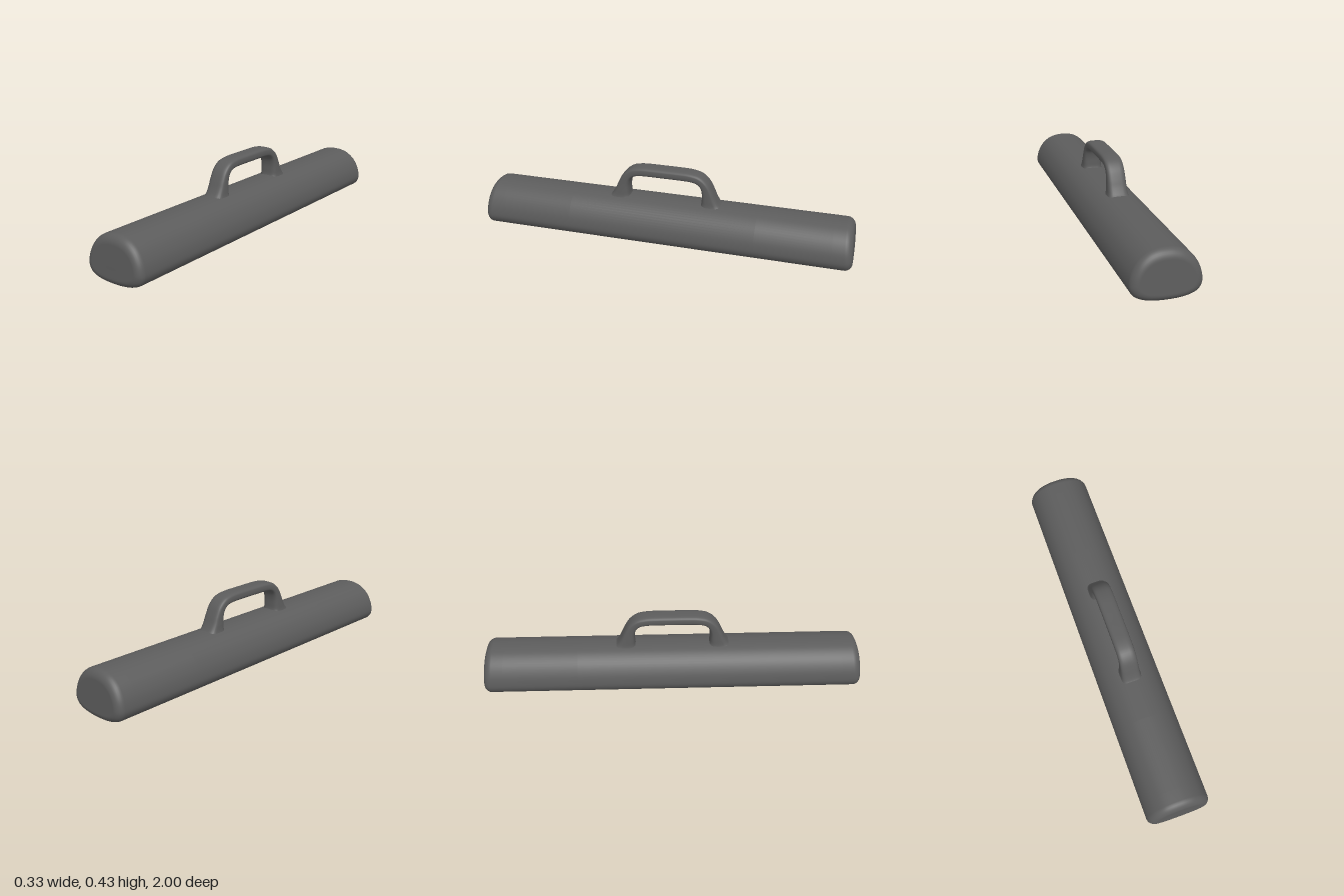
import * as THREE from 'three';

// Closed smooth skin over a list of rings (each an equal-length array of Vector3)
function loft(rings) {
  const n = rings[0].length, index = [];
  for (let i = 0; i < rings.length - 1; i++) {
    for (let j = 0; j < n; j++) {
      const k = (j + 1) % n;
      const a = i * n + j, b = i * n + k, c = (i + 1) * n + k, d = (i + 1) * n + j;
      index.push(a, b, c, a, c, d);
    }
  }
  const geometry = new THREE.BufferGeometry().setFromPoints(rings.flat());
  geometry.setIndex(index);
  geometry.computeVertexNormals();
  return geometry;
}

// Long body: domed top, gently bowed underside, softened ends
function bodyGeometry() {
  const half = [[0, 0.023], [0.06, 0.026], [0.11, 0.036], [0.148, 0.056], [0.165, 0.085],
    [0.166, 0.115], [0.155, 0.16], [0.126, 0.209], [0.083, 0.243], [0.04, 0.257], [0, 0.26]];
  const mirrored = half.slice(1, -1).reverse().map(([x, y]) => [-x, y]);
  const outline = new THREE.CatmullRomCurve3(
    [...half, ...mirrored].map(([x, y]) => new THREE.Vector3(x, y, 0)), true);
  const section = outline.getPoints(80).slice(0, 80);

  const radius = 0.04, cy = 0.13;
  const profile = [[0.117, 1], [0.09, 1], [0.06, 0.9995]]; // [inset, z]
  for (let i = 8; i >= 0; i--) {
    const a = (i / 8) * Math.PI / 2;
    profile.push([radius * (1 - Math.cos(a)), 1 - radius + radius * Math.sin(a)]);
  }
  profile.push([0, 0.9], [0, 0.5]);
  const ring = (inset, z, side) => section.map((p) => {
    const sx = inset >= 0.117 ? 0 : 1 - inset / (inset > radius ? 0.117 : 0.167);
    const sy = 1 - inset / 0.117;
    const y = cy + (p.y - cy) * sy;
    const lean = z > 0.8 ? 0.014 * Math.max(0, y - 0.05) / 0.21 : 0;
    return new THREE.Vector3(p.x * sx, y, side * (z - lean));
  });
  return loft([
    ...profile.map(([d, z]) => ring(d, z, -1)),
    ...profile.slice().reverse().map(([d, z]) => ring(d, z, 1)),
  ]);
}

// Arched handle: skin between an outer and an inner arch, flared at the feet
function handleGeometry() {
  // [outer z, outer y, inner z, inner y, half width]
  const stations = [
    [0.335, 0.235, 0.18, 0.235, 0.062], [0.298, 0.26, 0.195, 0.26, 0.053],
    [0.275, 0.295, 0.198, 0.29, 0.05], [0.257, 0.335, 0.197, 0.325, 0.048],
    [0.23, 0.383, 0.188, 0.355, 0.047], [0.19, 0.417, 0.168, 0.373, 0.047],
    [0.14, 0.43, 0.135, 0.38, 0.047], [0.07, 0.433, 0.07, 0.382, 0.047],
  ];
  const back = stations.map(([oz, oy, iz, iy, w]) => [-oz, oy, -iz, iy, w]);
  const all = [...back, [0, 0.433, 0, 0.382, 0.047], ...stations.slice().reverse()];
  const outer = new THREE.CatmullRomCurve3(all.map((s) => new THREE.Vector3(s[4], s[1], s[0])));
  const inner = new THREE.CatmullRomCurve3(all.map((s) => new THREE.Vector3(s[4], s[3], s[2])));
  const soft = (v) => Math.sign(v) * Math.pow(Math.abs(v), 0.6);
  const steps = 64, sides = 28, rings = [];
  for (let i = 0; i <= steps; i++) {
    const o = outer.getPoint(i / steps), q = inner.getPoint(i / steps);
    const ring = [];
    for (let j = 0; j < sides; j++) {
      const a = (j / sides) * Math.PI * 2;
      const t = (1 + soft(Math.sin(a))) / 2;
      ring.push(new THREE.Vector3(o.x * soft(Math.cos(a)),
        q.y + (o.y - q.y) * t, q.z + (o.z - q.z) * t));
    }
    rings.push(ring);
  }
  return loft(rings);
}

export function createModel() {
  const group = new THREE.Group();
  const darkGrey = new THREE.MeshStandardMaterial({ color: 0x5c5c5c });
  darkGrey.name = 'dark grey';
  const add = (name, geometry) => {
    const mesh = new THREE.Mesh(geometry, darkGrey);
    mesh.name = name;
    group.add(mesh);
    return mesh;
  };

  add('body', bodyGeometry());
  add('handle', handleGeometry());

  // Small round studs under the body
  const stud = new THREE.SphereGeometry(0.04, 24, 16);
  [0.59, 0.235, -0.59].forEach((z, i) => {
    add('stud' + (i + 1), stud).position.set(0, 0.04, z);
  });
  return group;
}
